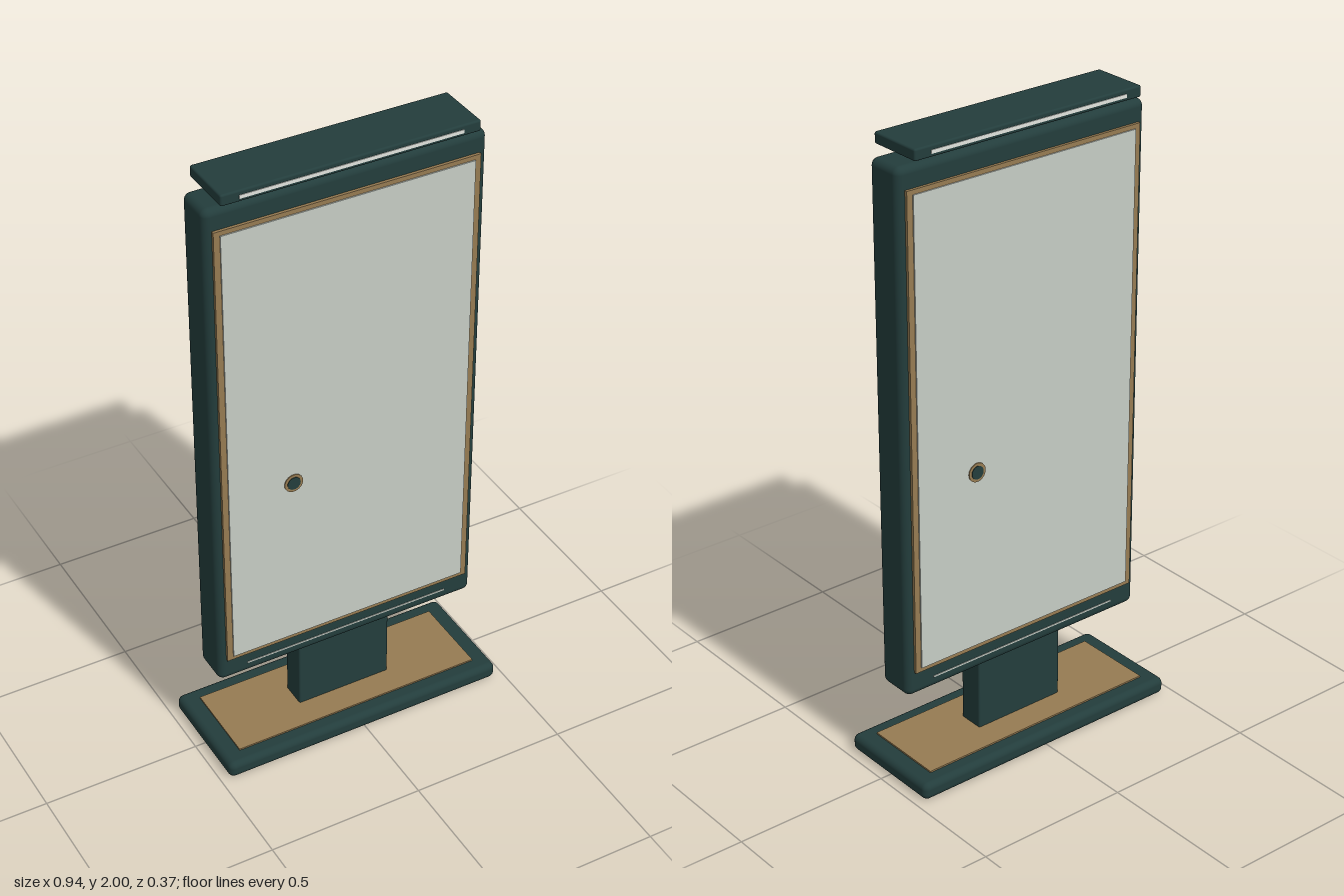
import * as THREE from 'three';
import { RoundedBoxGeometry } from 'three/addons/geometries/RoundedBoxGeometry.js';

const material = (name, color) => {
  const m = new THREE.MeshStandardMaterial({ color });
  m.name = name;
  return m;
};

export function createModel() {
  const green = material('dark green', 0x233d3c);
  const bronze = material('bronze', 0x967b52);
  const glass = material('pale panel', 0xc6ccc4);
  const light = material('light strip', 0xe2e4de);

  const model = new THREE.Group();
  model.name = 'displayStand';

  const add = (parent, name, geometry, mat, x, y, z) => {
    const mesh = new THREE.Mesh(geometry, mat);
    mesh.name = name;
    mesh.position.set(x, y, z);
    parent.add(mesh);
    return mesh;
  };
  const box = (w, h, d) => new THREE.BoxGeometry(w, h, d);
  const rounded = (w, h, d, r) => new RoundedBoxGeometry(w, h, d, 4, r);

  // Foot, post and cabinet
  add(model, 'base', rounded(0.944, 0.055, 0.366, 0.02), green, 0, 0.0275, 0);
  add(model, 'baseInlay', box(0.83, 0.008, 0.266), bronze, 0, 0.056, 0);
  add(model, 'post', rounded(0.314, 0.26, 0.084, 0.006), green, 0, 0.18, 0);
  add(model, 'cabinet', rounded(0.88, 1.655, 0.126, 0.022), green, 0, 1.1175, 0);

  // Canopy on two short brackets
  add(model, 'canopy', rounded(0.8, 0.035, 0.18, 0.006), green, 0, 1.9825, 0);
  for (const side of [-1, 1]) {
    add(model, 'canopyBracket', box(0.02, 0.04, 0.05), green, side * 0.285, 1.955, 0);
  }

  // Bronze frame outline with an opening for the panel
  const frameShape = new THREE.Shape([
    [-0.415, -0.755], [0.415, -0.755], [0.415, 0.755], [-0.415, 0.755],
  ].map(([x, y]) => new THREE.Vector2(x, y)));
  frameShape.holes.push(new THREE.Path([
    [-0.395, -0.74], [-0.395, 0.74], [0.395, 0.74], [0.395, -0.74],
  ].map(([x, y]) => new THREE.Vector2(x, y))));
  const frameGeometry = new THREE.ExtrudeGeometry(frameShape, { depth: 0.012, bevelEnabled: false });

  // Both faces are the same, turned half around
  for (const [name, turn] of [['frontFace', 0], ['backFace', Math.PI]]) {
    const face = new THREE.Group();
    face.name = name;
    face.rotation.y = turn;
    model.add(face);

    add(face, 'frame', frameGeometry, bronze, 0, 1.125, 0.06);
    add(face, 'panel', box(0.792, 1.482, 0.016), glass, 0, 1.125, 0.068);

    // Round lock with a bronze rim
    const rim = add(face, 'lockRim', new THREE.CylinderGeometry(0.03, 0.03, 0.008, 32), bronze, -0.187, 0.962, 0.075);
    const core = add(face, 'lockCore', new THREE.CylinderGeometry(0.021, 0.021, 0.008, 32), green, -0.187, 0.962, 0.077);
    rim.rotation.x = core.rotation.x = Math.PI / 2;

    // Thin strips on the canopy edge and below the panel
    add(face, 'canopyLight', box(0.69, 0.011, 0.004), light, 0, 1.981, 0.09);
    add(face, 'lowerStrip', box(0.69, 0.005, 0.004), glass, 0, 0.329, 0.063);
  }

  return model;
}
